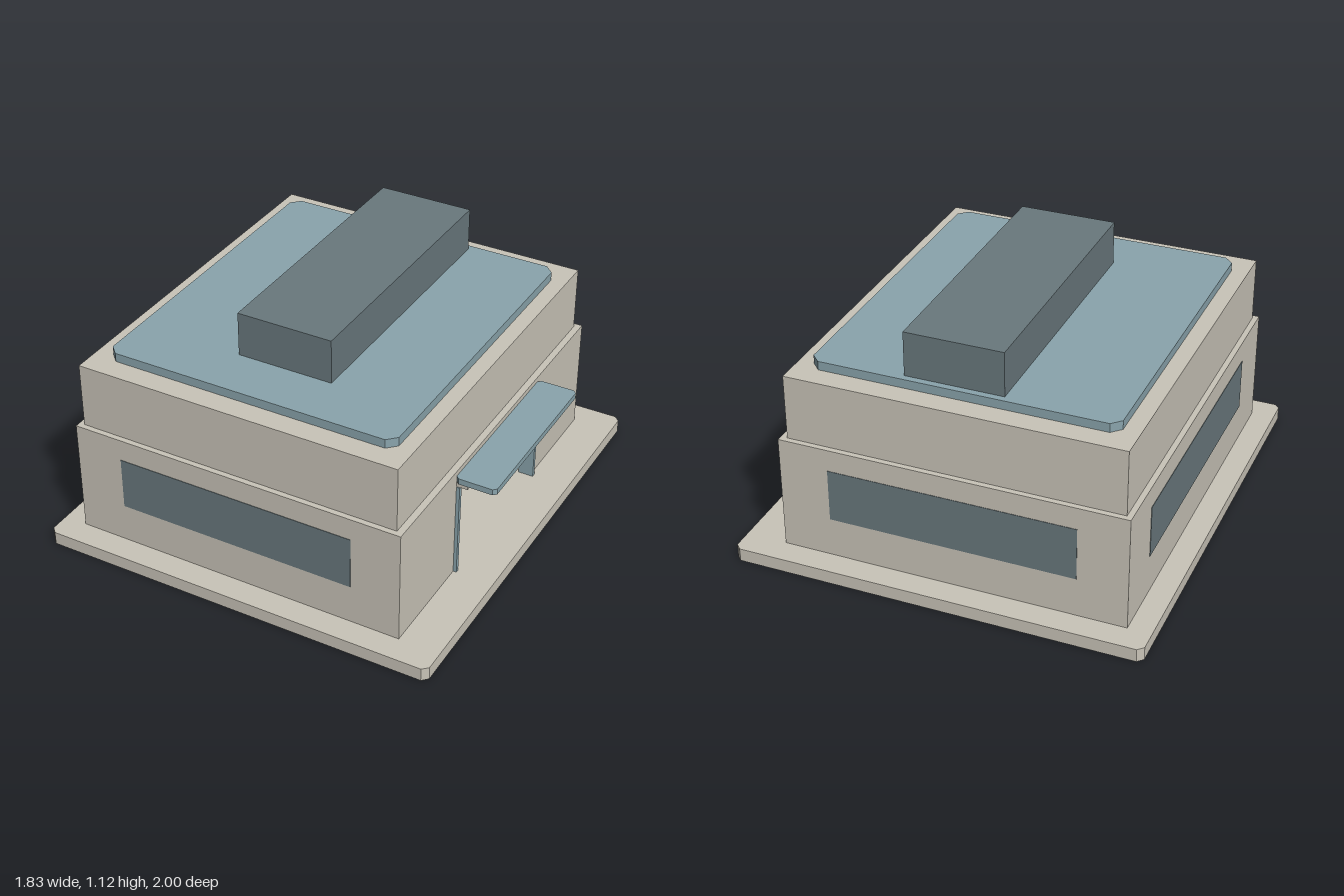
import * as THREE from 'three';

const mat = (name, color) => {
  const m = new THREE.MeshStandardMaterial({ color });
  m.name = name;
  return m;
};

export function createModel() {
  const model = new THREE.Group();
  model.name = 'building';
  const stone = mat('warm stone', 0xc9c4b8);
  const blue = mat('pale blue', 0x8aa4ac);
  const slate = mat('dark slate', 0x69787d);

  const add = (name, geometry, material) => {
    const mesh = new THREE.Mesh(geometry, material);
    mesh.name = name;
    model.add(mesh);
    return mesh;
  };

  // Box given by its limits on each axis
  const box = (name, material, [x0, x1], [y0, y1], [z0, z1]) => {
    const mesh = add(name, new THREE.BoxGeometry(x1 - x0, y1 - y0, z1 - z0), material);
    mesh.position.set((x0 + x1) / 2, (y0 + y1) / 2, (z0 + z1) / 2);
    return mesh;
  };

  // Flat slab with cut corners
  const slab = (name, material, [x0, x1], [y0, y1], [z0, z1], c) => {
    const shape = new THREE.Shape([
      [x0 + c, z0], [x1 - c, z0], [x1, z0 + c], [x1, z1 - c],
      [x1 - c, z1], [x0 + c, z1], [x0, z1 - c], [x0, z0 + c],
    ].map(([x, z]) => new THREE.Vector2(x, -z)));
    const geometry = new THREE.ExtrudeGeometry(shape, { depth: y1 - y0, bevelEnabled: false });
    geometry.rotateX(-Math.PI / 2);
    geometry.translate(0, y0, 0);
    return add(name, geometry, material);
  };

  const L = -0.81, R = 0.73, Z = 0.885, T = 0.05; // lower storey limits, wall thickness
  const low = [0.06, 0.58];

  slab('base', stone, [-0.915, 0.915], [0, 0.06], [-1, 1], 0.025);

  // Hollow lower storey
  box('frontWall', stone, [L, R], low, [Z - T, Z]);
  box('backWall', stone, [L, R], low, [-Z, -Z + T]);
  box('leftEndWall', stone, [L, L + T], low, [-Z + T, Z - T]);

  // Entrance wall with a doorway cut up from the floor
  const entrance = new THREE.Shape([
    [-Z + T, 0.06], [-0.39, 0.06], [-0.39, 0.5], [0.39, 0.5],
    [0.39, 0.06], [Z - T, 0.06], [Z - T, 0.58], [-Z + T, 0.58],
  ].map(([z, y]) => new THREE.Vector2(z, y)));
  const entranceGeometry = new THREE.ExtrudeGeometry(entrance, { depth: T, bevelEnabled: false });
  entranceGeometry.rotateY(Math.PI / 2);
  entranceGeometry.translate(R - T, 0, 0);
  add('entranceWall', entranceGeometry, stone);

  // Upper storey and roof
  box('upperStorey', stone, [-0.785, 0.7], [0.58, 0.875], [-0.86, 0.86]);
  slab('roofPanel', blue, [-0.71, 0.63], [0.875, 0.915], [-0.76, 0.76], 0.04);
  box('roofUnit', slate, [-0.22, 0.217], [0.915, 1.115], [-0.73, 0.52]);

  // Entrance canopy, support beam and door posts
  slab('canopy', blue, [0.73, 0.912], [0.53, 0.557], [-0.41, 0.41], 0.015);
  box('canopyBeam', stone, [0.73, 0.78], [0.503, 0.53], [-0.395, 0.395]);
  for (const s of [-1, 1]) {
    const z = s * 0.387;
    box('doorPost', blue, [0.675, 0.745], [0.06, 0.5], [z - 0.009, z + 0.009]);
  }

  // Window strips
  const pane = [0.24, 0.48], thin = 0.002;
  box('frontWindow', slate, [-0.59, 0.508], pane, [Z, Z + thin]);
  box('backWindow', slate, [-0.59, 0.508], pane, [-Z - thin, -Z]);
  box('endWindow', slate, [L - thin, L], pane, [-0.63, 0.63]);

  return model;
}
